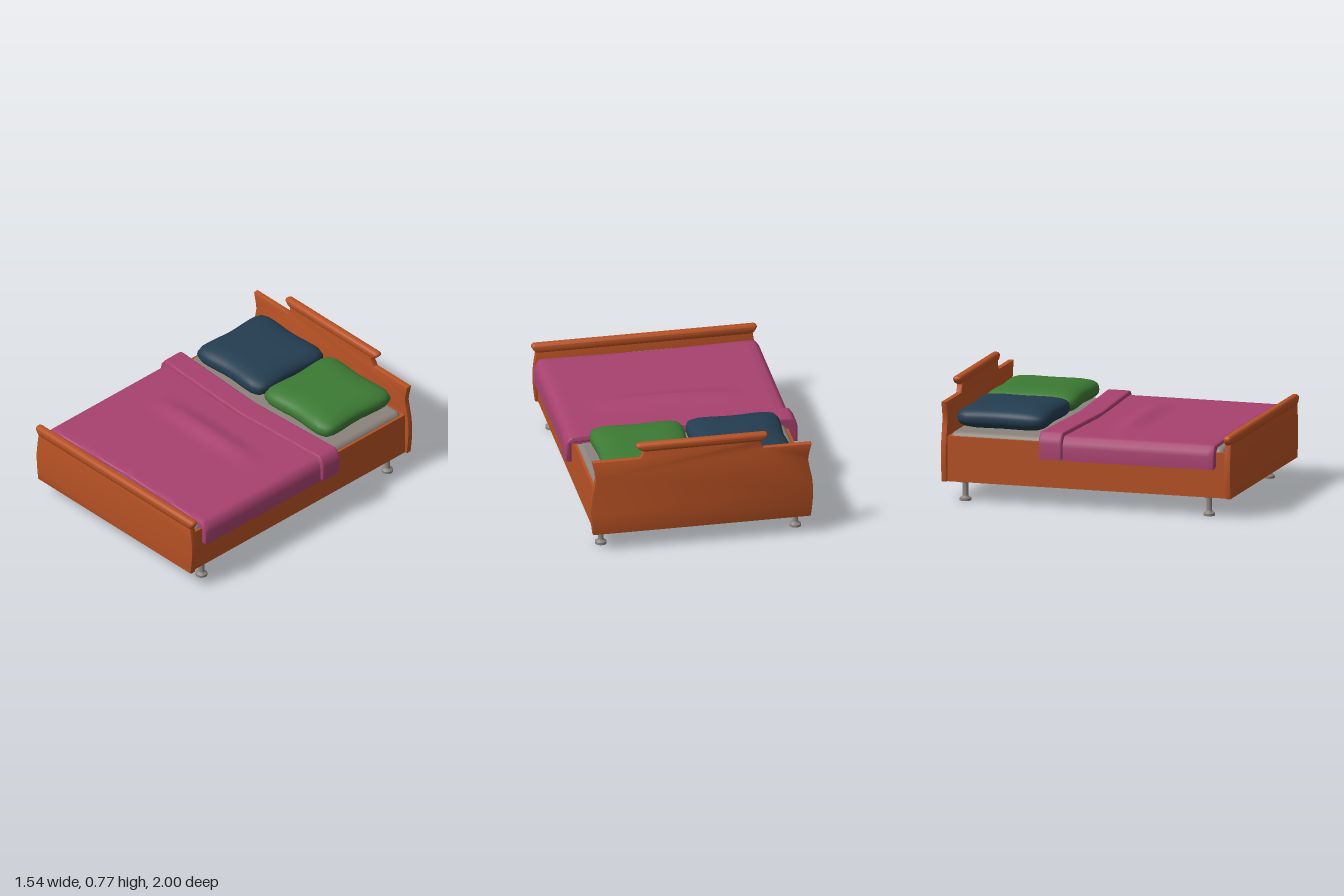
import * as THREE from 'three';
import { mergeVertices, toCreasedNormals } from 'three/addons/utils/BufferGeometryUtils.js';
import { RoundedBoxGeometry } from 'three/addons/geometries/RoundedBoxGeometry.js';

const material = (name, color) => new THREE.MeshStandardMaterial({ name, color });

// Move every vertex by a rule, then rebuild the normals.
function reshape(geometry, rule, crease = 0.7) {
  geometry.deleteAttribute('uv');
  geometry.deleteAttribute('normal');
  const g = mergeVertices(geometry, 1e-5);
  const p = g.attributes.position;
  const v = new THREE.Vector3();
  for (let i = 0; i < p.count; i++) {
    rule(v.fromBufferAttribute(p, i));
    p.setXYZ(i, v.x, v.y, v.z);
  }
  g.computeVertexNormals();
  return crease ? toCreasedNormals(g, crease) : g;
}

// Symmetric board cut from its right-hand outline, listed from bottom to top.
function board(half, z0, z1) {
  const bevel = 0.006;
  const mirrored = half.map(([x, y]) => [-x, y]).reverse();
  const shape = new THREE.Shape([...half, ...mirrored].map(([x, y]) => new THREE.Vector2(x, y)));
  const g = new THREE.ExtrudeGeometry(shape, {
    depth: z1 - z0 - 2 * bevel, bevelThickness: bevel, bevelSize: bevel,
    bevelOffset: -bevel, bevelSegments: 2,
  });
  g.translate(0, 0, z0 + bevel);
  return toCreasedNormals(g, 0.6);
}

// Rounded top rail whose ends slant inward towards the bottom.
function topRail(width, height, depth, slant) {
  return reshape(new RoundedBoxGeometry(width, height, depth, 4, 0.024), (v) => {
    const low = Math.max(0, 0.15 - v.y / height);
    v.x -= Math.sign(v.x) * slant * low;
  });
}

// Cloth draped over the bed: a thick upside-down U swept along z.
function drape(halfX, top, bottom, z0, z1, rule) {
  const t = 0.04, b = 0.012, n = 24;
  const pts = [[halfX, bottom], [halfX, top - 0.075], [halfX - 0.008, top - 0.04], [halfX - 0.03, top - 0.008]];
  for (let i = 0; i <= n; i++) pts.push([(halfX - 0.05) * (1 - 2 * i / n), top]);
  pts.push([-halfX + 0.03, top - 0.008], [-halfX + 0.008, top - 0.04], [-halfX, top - 0.075], [-halfX, bottom]);
  pts.push([-halfX + t, bottom], [-halfX + t, top - t], [halfX - t, top - t], [halfX - t, bottom]);
  const shape = new THREE.Shape(pts.map(([x, y]) => new THREE.Vector2(x, y)));
  const g = new THREE.ExtrudeGeometry(shape, {
    depth: z1 - z0 - 2 * b, steps: 30, bevelThickness: b, bevelSize: b, bevelOffset: -b, bevelSegments: 3,
  });
  g.translate(0, 0, z0 + b);
  return reshape(g, rule, 0.9);
}

// Sphere squared off in plan, with flattened faces and slightly hollow sides.
function pillowGeometry() {
  return reshape(new THREE.SphereGeometry(1, 48, 24), (v) => {
    const r = Math.hypot(v.x, v.z);
    if (r > 1e-4) {
      const ax = Math.abs(v.x) / r, az = Math.abs(v.z) / r;
      const square = 1 / Math.pow(ax ** 9 + az ** 9, 1 / 9);
      const hollow = 1 - 0.05 * (1 - (2 * ax * az) ** 2);
      const k = Math.sqrt(r) * square * hollow / r;
      v.x *= k * 0.315;
      v.z *= k * 0.312;
    }
    v.y = Math.sign(v.y) * Math.pow(Math.abs(v.y), 0.85) * 0.08;
  }, 0);
}

export function createModel() {
  const wood = material('orange wood', 0xb85224);
  const sheet = material('grey linen', 0x8b837b);
  const metal = material('grey metal', 0x8a837e);
  const pink = material('pink cloth', 0xa8426f);
  const blue = material('navy cloth', 0x233d50);
  const green = material('green cloth', 0x3c7a34);

  const bed = new THREE.Group();
  bed.name = 'bed';
  const add = (name, geometry, mat, x = 0, y = 0, z = 0) => {
    const mesh = new THREE.Mesh(geometry, mat);
    mesh.name = name;
    mesh.position.set(x, y, z);
    bed.add(mesh);
    return mesh;
  };

  // Frame and end boards
  add('frame', new THREE.BoxGeometry(1.41, 0.3, 1.91), wood, 0, 0.28, 0);
  const lower = [[0.722, 0.13], [0.731, 0.2], [0.737, 0.28], [0.737, 0.34], [0.73, 0.41]];
  add('footboard', board([...lower, [0.717, 0.5]], 0.95, 0.992), wood);
  add('footboardRail', topRail(1.496, 0.07, 0.055, 0.04), wood, 0, 0.515, 0.972);
  add('headboard', board([
    ...lower, [0.715, 0.48], [0.704, 0.54], [0.709, 0.58], [0.727, 0.66],
    [0.408, 0.66], [0.385, 0.705], [0.385, 0.73],
  ], -0.983, -0.945), wood);
  add('headboardRail', topRail(0.875, 0.062, 0.058, 0.06), wood, 0, 0.741, -0.971);

  // Legs
  const legGeometry = toCreasedNormals(new THREE.LatheGeometry([
    [0, 0], [0.038, 0], [0.038, 0.016], [0.022, 0.028], [0.019, 0.034],
    [0.019, 0.118], [0.038, 0.122], [0.041, 0.133], [0, 0.133],
  ].map(([x, y]) => new THREE.Vector2(x, y)), 20), 0.5);
  for (const x of [-0.645, 0.645]) {
    for (const z of [-0.843, 0.82]) add('leg', legGeometry, metal, x, 0, z);
  }

  // Bedding
  add('mattress', new RoundedBoxGeometry(1.38, 0.11, 1.87, 4, 0.04), sheet, 0, 0.402, 0);
  add('blanket', drape(0.75, 0.48, 0.322, -0.2, 0.885, (v) => {
    if (v.z > 0.8) v.z -= 0.02 * Math.max(0, 1 - Math.abs(v.x) / 0.75);
    // soft crease across the middle
    const ridge = Math.max(0, 1 - Math.abs(v.z - 0.165) / 0.11);
    const across = Math.max(0, 1 - (v.x / 0.5) ** 2);
    if (v.y > 0.46) v.y += 0.034 * ridge * across;
  }), pink);
  add('blanketFold', drape(0.77, 0.505, 0.328, -0.306, -0.148, (v) => {
    v.z += 0.038 * Math.max(0, 1 - Math.abs(v.x) / 0.72);
  }), pink);

  // Pillows
  const pillow = pillowGeometry();
  add('rightPillow', pillow, blue, -0.318, 0.535, -0.617);
  add('leftPillow', pillow, green, 0.318, 0.535, -0.617);

  return bed;
}
